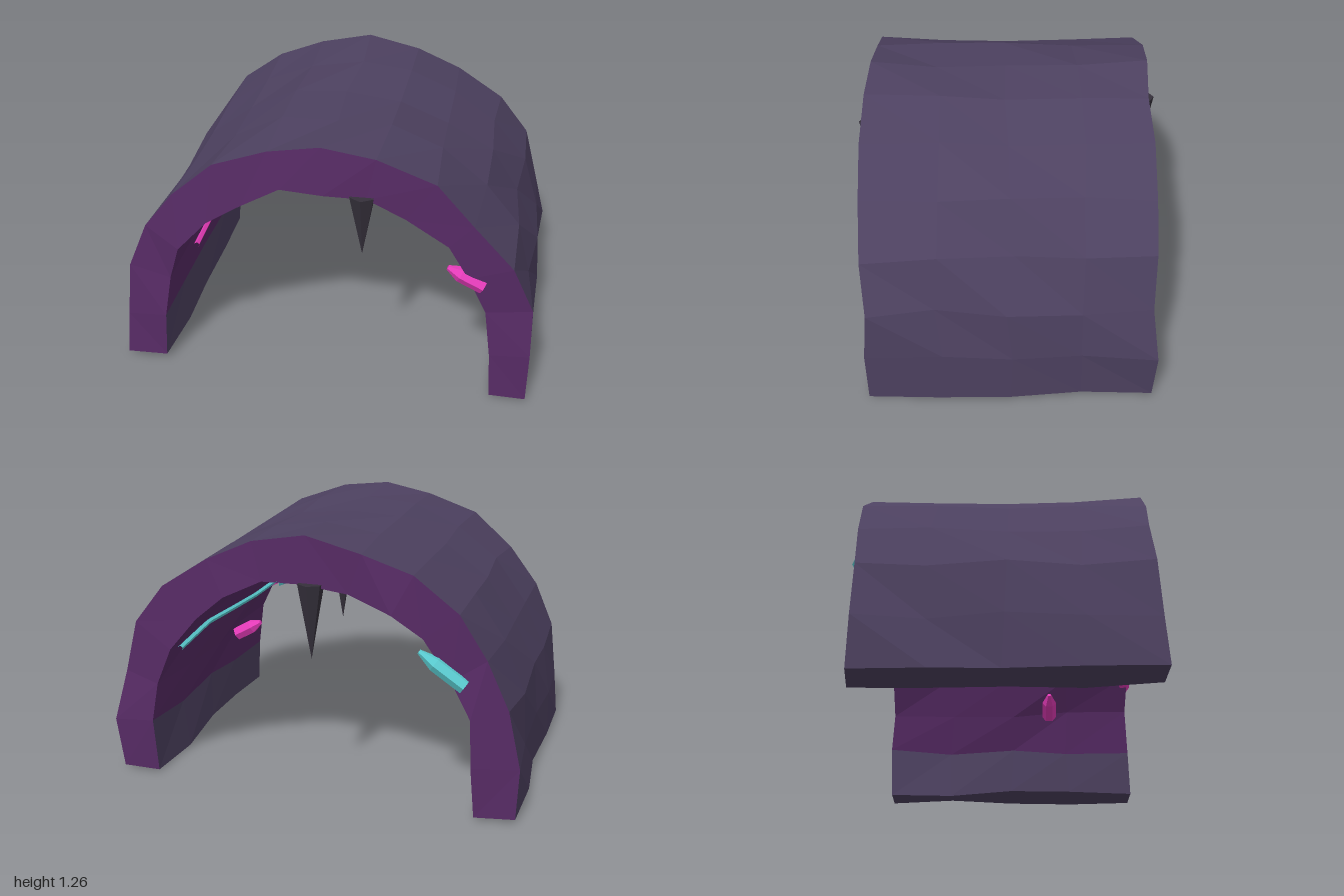
import * as THREE from 'three';

const mat = (name, color, side = THREE.FrontSide) =>
  Object.assign(new THREE.MeshStandardMaterial({ color, flatShading: true, side }), { name });

export function createModel() {
  const rock = mat('rock', 0x4d4160);
  const purple = mat('purple stone', 0x572b65);
  const darkStone = mat('dark stone', 0x35303b);
  const pink = mat('pink crystal', 0xe63cba);
  const cyan = mat('cyan crystal', 0x5acbd0);

  const group = new THREE.Group();
  const add = (name, geometry, material) => {
    const mesh = new THREE.Mesh(geometry, material);
    mesh.name = name;
    group.add(mesh);
    return mesh;
  };

  // Seeded roughness for the stone
  let seed = 11;
  const jitter = (amount) => {
    seed = (seed * 16807) % 2147483647;
    return (seed / 2147483647 - 0.5) * 2 * amount;
  };

  // Rings of the tunnel: straight legs plus a half circle, from +x over the top to -x
  const SPRING = 0.27, ARC = 12, LAST = ARC + 2, DEPTH = 4;
  const makeShell = (radius) => {
    const shell = [];
    for (let i = 0; i <= LAST; i++) {
      shell.push([]);
      const a = (Math.min(Math.max(i - 1, 0), ARC) / ARC) * Math.PI;
      const foot = i === 0 || i === LAST;
      for (let j = 0; j <= DEPTH; j++) {
        const x = Math.cos(a) * radius + jitter(0.018);
        const y = (foot ? 0.02 : SPRING + Math.sin(a) * radius) + jitter(0.018);
        const z = (j / DEPTH - 0.5) * 1.32 + jitter(0.02);
        shell[i].push([Math.min(Math.max(x, -1), 1), Math.max(y, 0), z]);
      }
    }
    return shell;
  };
  const outer = makeShell(0.983), inner = makeShell(0.785);

  const surface = (name, material, build) => {
    const p = [];
    build((a, b, c, d) => p.push(...a, ...b, ...c, ...a, ...c, ...d));
    const g = new THREE.BufferGeometry();
    g.setAttribute('position', new THREE.Float32BufferAttribute(p, 3));
    g.computeVertexNormals();
    add(name, g, material);
  };
  const eachPanel = (from, to, fn) => {
    for (let i = from; i < to; i++) for (let j = 0; j < DEPTH; j++) fn(i, j);
  };

  // Outside of the tunnel
  surface('outerRock', rock, (quad) => eachPanel(0, LAST, (i, j) =>
    quad(outer[i][j], outer[i + 1][j], outer[i + 1][j + 1], outer[i][j + 1])));

  // Vault inside, above the legs
  const innerPanel = (quad) => (i, j) =>
    quad(inner[i][j], inner[i][j + 1], inner[i + 1][j + 1], inner[i + 1][j]);
  surface('innerVault', purple, (quad) => eachPanel(1, LAST - 1, innerPanel(quad)));

  // Inside of the legs and their undersides
  surface('innerLegs', rock, (quad) => {
    eachPanel(0, 1, innerPanel(quad));
    eachPanel(LAST - 1, LAST, innerPanel(quad));
    for (let j = 0; j < DEPTH; j++) {
      quad(outer[0][j], outer[0][j + 1], inner[0][j + 1], inner[0][j]);
      quad(outer[LAST][j], inner[LAST][j], inner[LAST][j + 1], outer[LAST][j + 1]);
    }
  });

  // Arched faces at both ends
  surface('endFaces', purple, (quad) => {
    for (let i = 0; i < LAST; i++) {
      quad(outer[i][DEPTH], outer[i + 1][DEPTH], inner[i + 1][DEPTH], inner[i][DEPTH]);
      quad(outer[i][0], inner[i][0], inner[i + 1][0], outer[i + 1][0]);
    }
  });

  // Stalactites: x, z, tip height, radius
  for (const [x, z, tip, r] of [
    [-0.03, -0.655, 0.69, 0.062], [0.09, -0.3, 0.73, 0.055], [0.04, 0.01, 0.68, 0.058],
    [0.29, 0.31, 0.76, 0.054], [0.18, 0.65, 0.74, 0.062],
  ]) {
    const h = 1.046 - tip;
    add('stalactite', new THREE.ConeGeometry(r, h, 6).rotateX(Math.PI), darkStone)
      .position.set(x, tip + h / 2, z);
  }

  // Crystals growing from the walls: base to tip
  const crystal = (material, base, tip, r) => {
    const from = new THREE.Vector3(...base), dir = new THREE.Vector3(...tip).sub(from);
    const len = dir.length();
    const profile = [[0, 0], [r, 0], [r, len * 0.65], [r * 0.3, len], [0, len]]
      .map(([x, y]) => new THREE.Vector2(x, y));
    const mesh = add('crystal', new THREE.LatheGeometry(profile, 6), material);
    mesh.position.copy(from);
    mesh.quaternion.setFromUnitVectors(new THREE.Vector3(0, 1, 0), dir.normalize());
  };
  crystal(pink, [0.735, 0.63, 0.645], [0.57, 0.71, 0.645], 0.038);
  crystal(pink, [0.73, 0.45, 0.22], [0.59, 0.53, 0.22], 0.038);
  crystal(cyan, [-0.74, 0.64, -0.655], [-0.53, 0.78, -0.655], 0.036);
  crystal(cyan, [-0.69, 0.66, -0.33], [-0.56, 0.74, -0.33], 0.034);

  // Glowing veins running along the vault
  const vein = (name, material, points) => {
    const path = new THREE.CurvePath();
    const v = points.map((p) => new THREE.Vector3(...p));
    for (let i = 1; i < v.length; i++) path.add(new THREE.LineCurve3(v[i - 1], v[i]));
    add(name, new THREE.TubeGeometry(path, 24, 0.013, 5), material);
  };
  vein('wallVeinRight', pink, [
    [-0.61, 0.68, 0.63], [-0.63, 0.66, 0.35], [-0.62, 0.71, 0], [-0.63, 0.67, -0.3], [-0.62, 0.71, -0.63]]);
  vein('wallVeinLeft', cyan, [
    [0.64, 0.67, 0.6], [0.65, 0.66, 0.3], [0.64, 0.68, 0], [0.65, 0.69, -0.3], [0.63, 0.67, -0.66]]);
  vein('ceilingVein', cyan, [
    [0.11, 1.0, 0.62], [0.12, 1.03, 0.3], [0.11, 1.01, 0], [0.1, 0.99, -0.3], [0.13, 1.03, -0.66]]);

  return group;
}
